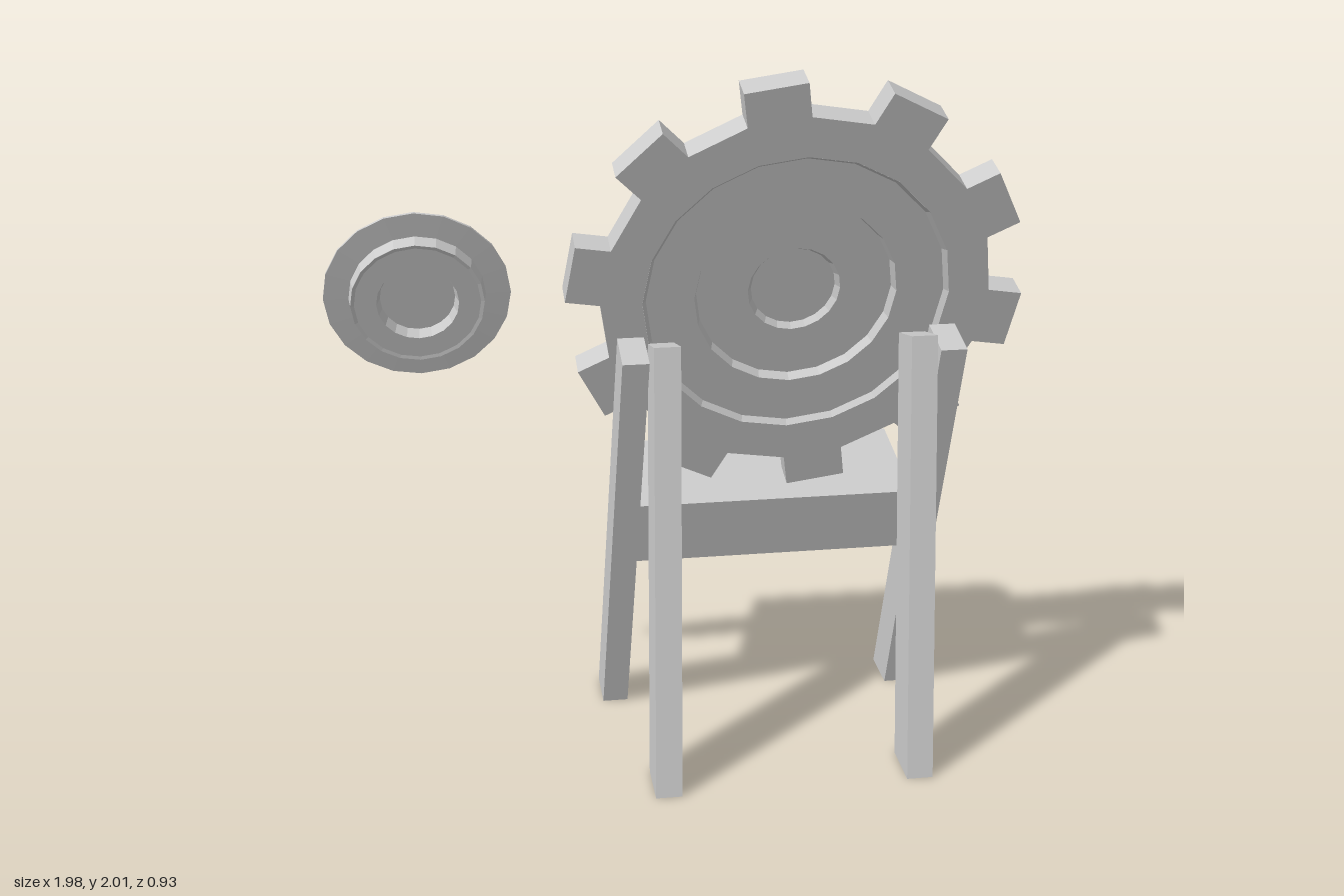
import * as THREE from 'three';

const material = new THREE.MeshStandardMaterial({ color: 0xcccccc, flatShading: true });
const TILT = 0.251;      // lean shared by discs, legs and shelf
const SIDES = 20;

function part(name, geometry) {
  const mesh = new THREE.Mesh(geometry, material);
  mesh.name = name;
  return mesh;
}

// Turned disc: profile runs from the back centre, around the rim, to the front centre
function turned(name, profile) {
  const geometry = new THREE.LatheGeometry(profile.map(([r, z]) => new THREE.Vector2(r, z)), SIDES);
  return part(name, geometry.rotateX(Math.PI / 2));
}

// Twenty-sided ring with a square tooth pushed out of every second side
function toothedRing(radius, toothHeight, holeRadius, depth) {
  const step = (Math.PI * 2) / SIDES;
  const corner = (i, r) => new THREE.Vector2(Math.cos(i * step) * r, Math.sin(i * step) * r);
  const outline = [];
  const hole = [];
  for (let i = 0; i < SIDES; i++) {
    const a = corner(i, radius);
    outline.push(a);
    if (i % 2 === 1) {
      const out = corner(i + 0.5, toothHeight);
      outline.push(a.clone().add(out), corner(i + 1, radius).add(out));
    }
    hole.push(corner(-i, holeRadius));
  }
  const shape = new THREE.Shape(outline);
  shape.holes.push(new THREE.Path(hole));
  return new THREE.ExtrudeGeometry(shape, { depth, bevelEnabled: false }).translate(0, 0, -depth / 2);
}

// Sheared post: flat foot, top cut square to the lean
function leg(name, footX, footZ, lean) {
  const height = 1.232, width = 0.076, depth = 0.146;
  const geometry = new THREE.BoxGeometry(width, height, depth).translate(0, height / 2, 0);
  const p = geometry.attributes.position;
  for (let i = 0; i < p.count; i++) {
    const z = p.getZ(i);
    const y = p.getY(i) > 0.1 ? height - z * lean * 0.9 : 0;
    p.setXYZ(i, footX + p.getX(i) + y * 0.032, y, footZ + z + y * lean);
  }
  geometry.computeVertexNormals();
  return part(name, geometry);
}

export function createModel() {
  const model = new THREE.Group();

  // Large toothed wheel with stepped wells in its front and fine grooves in its back
  const wheel = new THREE.Group();
  wheel.name = 'toothedWheel';
  wheel.position.set(0.333, 1.358, 0.02);
  wheel.rotation.x = TILT;
  const b = -0.0425;
  wheel.add(
    part('toothedRim', toothedRing(0.56, 0.1, 0.442, 0.085)),
    turned('wheelCore', [
      [0, b], [0.13, b], [0.133, b + 0.008], [0.136, b],
      [0.286, b], [0.289, b + 0.008], [0.292, b],
      [0.434, b], [0.4415, b + 0.01],
      [0.4415, 0.0415], [0.43, 0.025],
      [0.292, 0.025], [0.283, -0.005],
      [0.134, -0.005], [0.122, -0.025], [0, -0.025],
    ])
  );
  model.add(wheel);

  // Small floating disc: thin flange, raised hub with a well
  const disc = new THREE.Group();
  disc.name = 'smallDisc';
  disc.position.set(-0.73, 1.365, 0.015);
  disc.rotation.x = TILT;
  disc.add(turned('flangedHub', [
    [0, -0.052], [0.108, -0.052], [0.111, -0.045], [0.114, -0.052],
    [0.183, -0.052], [0.187, -0.046], [0.26, -0.046],
    [0.26, -0.038], [0.19, -0.036],
    [0.185, 0.006], [0.175, 0.004], [0.114, 0.004], [0.104, -0.03], [0, -0.03],
  ]));
  model.add(disc);

  // Two A-frame leg pairs
  model.add(
    leg('rightFrontLeg', -0.09, 0.392, -0.25),
    leg('leftFrontLeg', 0.645, 0.392, -0.25),
    leg('rightRearLeg', -0.182, -0.182, 0.248),
    leg('leftRearLeg', 0.722, -0.182, 0.248)
  );

  // Wedge shelf behind the legs, drawn in (-z, y) and extruded along x
  const section = new THREE.Shape([[0.08, 0.49], [0.465, 0.70], [0.38, 0.762], [0.03, 0.692]]
    .map(([z, y]) => new THREE.Vector2(z, y)));
  const shelf = new THREE.ExtrudeGeometry(section, { depth: 0.855, bevelEnabled: false });
  shelf.rotateY(Math.PI / 2).translate(-0.135, 0, 0);
  model.add(part('shelf', shelf));

  return model;
}
